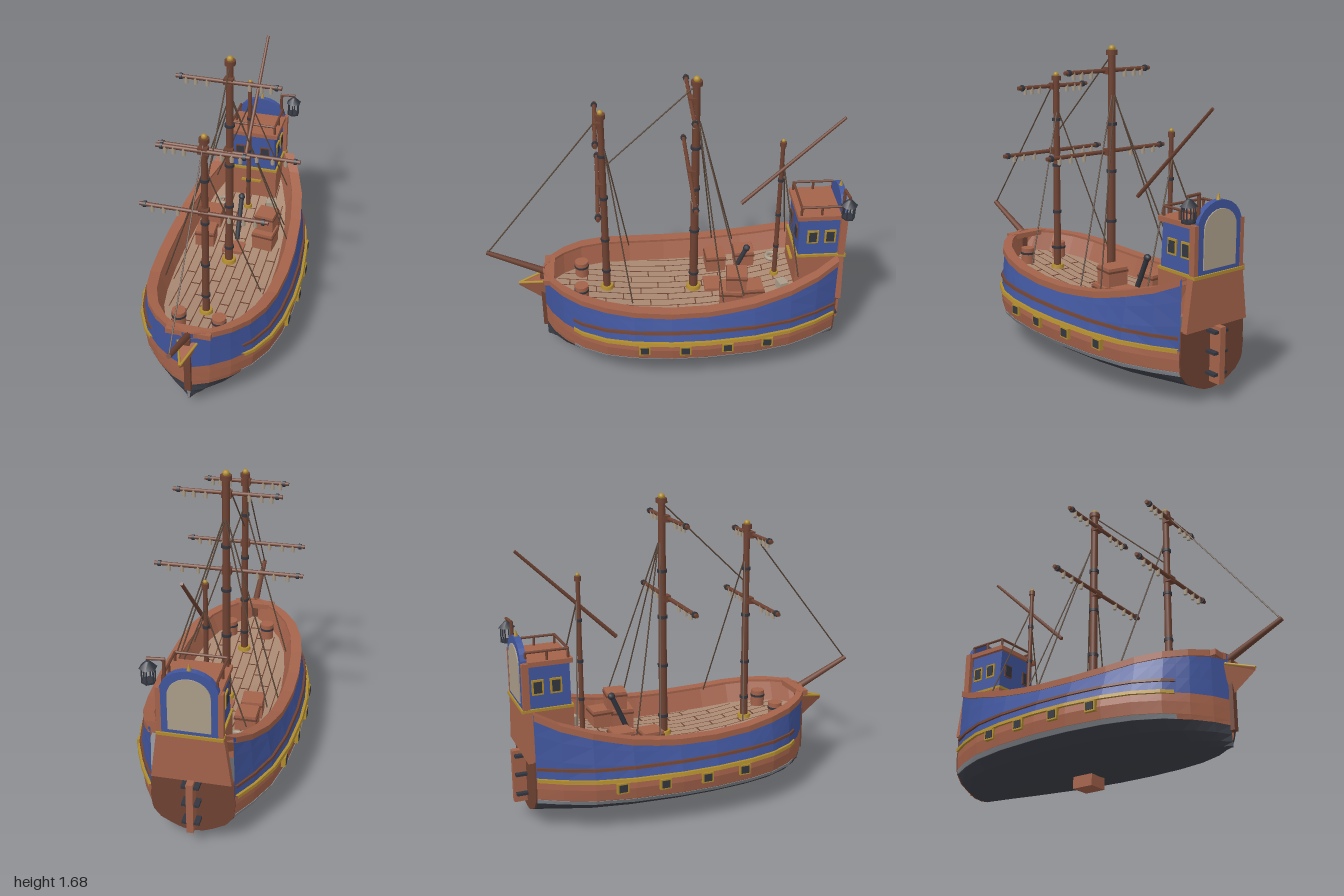
import * as THREE from 'three';

const mat = (name, color) => { const m = new THREE.MeshStandardMaterial({ color }); m.name = name; return m; };
const M = {
  blue: mat('blue paint', 0x40559c), wood: mat('red wood', 0xa3624a), dark: mat('dark wood', 0x6e4232),
  slate: mat('slate bottom', 0x3d4049), gold: mat('gold trim', 0xb08c2e), grey: mat('grey stripe', 0x868a90),
  deck: mat('deck planks', 0xa88872), rope: mat('rope', 0x5a4638), tan: mat('canvas', 0xaa9c88), iron: mat('iron', 0x33363f),
};

// Piecewise linear lookup in [[key, value], ...]
const lookup = (t, k) => {
  if (k <= t[0][0]) return t[0][1];
  for (let i = 1; i < t.length; i++) if (k <= t[i][0]) {
    const [a, va] = t[i - 1], [b, vb] = t[i];
    return va + (vb - va) * (k - a) / (b - a);
  }
  return t[t.length - 1][1];
};
const PLAN = [[-.92, .5], [-.8, .67], [-.65, .83], [-.45, .94], [-.2, 1], [0, 1], [.2, .95], [.35, .86], [.48, .7], [.58, .48], [.65, .25], [.69, .03]];
const SHEER = [[-.92, .645], [-.8, .59], [-.6, .53], [-.4, .485], [-.2, .465], [0, .46], [.2, .47], [.4, .495], [.69, .53]];
const SECTION = [[.06, 0], [.065, .1], [.085, .2], [.12, .33], [.165, .4], [.19, .415], [.25, .425], [.29, .42]];
const STATIONS = [-.92, -.8, -.65, -.55, -.45, -.32, -.2, -.1, 0, .1, .2, .28, .35, .42, .48, .53, .58, .615, .65, .69];
const plan = z => lookup(PLAN, z), sheer = z => lookup(SHEER, z);
const railHalf = z => .365 * Math.pow(plan(z), .85);
const deckHalf = z => Math.max(.002, railHalf(z) - .085);
const deckY = z => sheer(z) - .11;
const hullHalf = (z, y) => {
  if (y <= .29) return lookup(SECTION, y) * plan(z);
  const t = (y - .29) / (sheer(z) - .29), lo = .42 * plan(z);
  return lo + (railHalf(z) - lo) * t;
};

// Flat-shaded surface through rows of points
function loft(rows, flip) {
  const v = [];
  for (let i = 0; i < rows.length - 1; i++) for (let j = 0; j < rows[i].length - 1; j++) {
    const a = rows[i][j], b = rows[i + 1][j], c = rows[i + 1][j + 1], d = rows[i][j + 1];
    for (const p of flip ? [a, c, b, a, d, c] : [a, b, c, a, c, d]) v.push(...p);
  }
  const g = new THREE.BufferGeometry();
  g.setAttribute('position', new THREE.Float32BufferAttribute(v, 3));
  g.computeVertexNormals();
  return g;
}

export function createModel() {
  const root = new THREE.Group();
  root.name = 'sailingShip';
  const add = (name, geo, m, x = 0, y = 0, z = 0) => {
    const o = new THREE.Mesh(geo, m);
    o.name = name; o.position.set(x, y, z); root.add(o);
    return o;
  };
  const box = (name, m, w, h, d, x, y, z) => add(name, new THREE.BoxGeometry(w, h, d), m, x, y, z);
  const cyl = (name, m, r0, r1, h, x, y, z, n = 10) => add(name, new THREE.CylinderGeometry(r1, r0, h, n), m, x, y, z);
  const rod = (name, m, a, b, r, r2 = r, n = 8) => {
    const A = new THREE.Vector3(...a), d = new THREE.Vector3(...b).sub(A), len = d.length();
    const o = cyl(name, m, r, r2, len, 0, 0, 0, n);
    o.position.copy(A).addScaledVector(d, .5);
    o.quaternion.setFromUnitVectors(new THREE.Vector3(0, 1, 0), d.normalize());
    return o;
  };
  const plate = (name, m, pts, z0, z1) => add(name, new THREE.ExtrudeGeometry(
    new THREE.Shape(pts.map(p => new THREE.Vector2(...p))), { depth: z1 - z0, bevelEnabled: false }), m, 0, 0, z0);
  const mirrored = f => [1, -1].forEach(f);

  // Hull, bands, rail and bulwark on both sides
  const bands = [['hullBottom', M.slate, [.06, .065, .085, .12, .165]], ['hullSide', M.wood, [.165, .19, .25, .295]]];
  mirrored(s => {
    const skin = (name, m, f, zs = STATIONS) => add(name, loft(zs.map(z => f(z).map(([x, y]) => [s * x, y, z])), s > 0), m);
    for (const [name, m, ys] of bands) skin(name, m, z => ys.map(y => [hullHalf(z, y), y]));
    skin('hullTopsides', M.blue, z => [0, .35, .7, 1].map(t => {
      const y = .295 + (sheer(z) - .295) * t;
      return [hullHalf(z, y), y];
    }));
    const aft = STATIONS.filter(z => z <= .53);
    const strip = (name, m, y0, y1, off) => skin(name, m, z => {
      const w = hullHalf(z, y0), u = hullHalf(z, y1);
      return [[w - .01, y0], [w + off, y0], [u + off, y1], [u - .01, y1]];
    }, aft);
    strip('waterlineStripe', M.grey, .165, .187, .004);
    strip('goldStripe', M.gold, .287, .305, .015);
    strip('wale', M.dark, .35, .364, .012);
    skin('rail', M.wood, z => {
      const o = railHalf(z) + .012, i = Math.max(.002, o - .06), y = sheer(z);
      return [[i, y - .028], [o, y - .028], [o, y + .005], [i, y + .005], [i, y - .028]];
    });
    skin('bulwark', M.wood, z => [[Math.max(.002, railHalf(z) - .045), sheer(z)], [deckHalf(z), deckY(z)]]);
    // Gun ports
    for (const z of [.15, -.07, -.3, -.52]) {
      const x = s * (hullHalf(z, .26) + .003);
      box('portFrame', M.gold, .026, .056, .062, x, .258, z);
      box('portLid', M.iron, .032, .04, .044, x, .258, z);
    }
  });
  box('keelBlock', M.wood, .11, .07, .12, 0, .035, -.17);

  // Deck with plank seams
  const zs = STATIONS;
  add('deck', loft(zs.map(z => [[-deckHalf(z), deckY(z), z], [deckHalf(z), deckY(z), z]])), M.deck);
  for (let k = -5; k <= 5; k++) {
    const x = k * .052, run = zs.filter(z => deckHalf(z) > Math.abs(x) + .005);
    if (run.length > 1) add('plankSeam', loft(run.map(z => [-.003, .003].map(e => [x + e, deckY(z) + .002, z]))), M.dark);
    for (let z = -.6 + (((k + 5) * 7) % 5) * .05; z < .6; z += .25)
      if (deckHalf(z) > Math.abs(x) + .055) box('plankJoint', M.dark, .052, .003, .006, x + .026, deckY(z) + .001, z);
  }

  // Transom, stern board and rudder
  const ys = [.06, .065, .085, .12, .165, .19, .25, .29, .34, .39];
  const half = ys.map(y => [hullHalf(-.92, y), y]);
  plate('transom', M.dark, [...half, ...half.slice(1).reverse().map(([x, y]) => [-x, y])], -.928, -.915);
  plate('sternPanel', M.wood, [[-.2, .385], [.2, .385], [.165, .645], [-.165, .645]], -.955, -.915);
  const arch = (w, y0, y1, r) => {
    const p = [[-w, y0], [w, y0]];
    for (let i = 0; i <= 12; i++) p.push([w * Math.cos(i * Math.PI / 12), y1 + r * Math.sin(i * Math.PI / 12)]);
    return p;
  };
  plate('sternBoard', M.blue, arch(.145, .645, .88, .125), -.957, -.925);
  plate('sternInset', M.tan, arch(.105, .68, .87, .095), -.963, -.955);
  box('sternTrim', M.gold, .33, .016, .05, 0, .65, -.94);
  mirrored(s => box('sternPost', M.wood, .025, .26, .035, s * .15, .77, -.94));
  add('finial', new THREE.ConeGeometry(.016, .05, 8), M.gold, 0, 1.015, -.941);
  box('rudder', M.wood, .035, .29, .075, 0, .245, -.96);
  for (const y of [.15, .26, .365]) box('rudderHinge', M.iron, .09, .014, .065, 0, y, -.955);

  // Stern cabin: base, walls, roof and roof railing
  box('cabinBase', M.wood, .3, .19, .24, 0, .55, -.815);
  box('cabinTrim', M.gold, .305, .014, .245, 0, .648, -.815);
  plate('cabinWalls', M.blue, [[-.142, .65], [.142, .65], [.13, .88], [-.13, .88]], -.93, -.705);
  box('cabinRoof', M.wood, .3, .025, .26, 0, .89, -.82);
  box('cabinStep', M.gold, .12, .012, .02, 0, .57, -.69);
  mirrored(s => {
    box('frontWindowFrame', M.dark, .058, .075, .008, s * .075, .765, -.703);
    box('frontWindow', M.iron, .046, .062, .008, s * .075, .765, -.7);
    for (const z of [-.78, -.875]) {
      box('sideWindowFrame', M.gold, .012, .08, .062, s * .136, .765, z);
      box('sideWindow', M.iron, .016, .06, .042, s * .137, .765, z);
    }
    rod('roofRailSide', M.dark, [s * .13, .95, -.71], [s * .13, .95, -.93], .007);
    for (const z of [-.71, -.82, -.93]) rod('roofRailPost', M.dark, [s * .13, .9, z], [s * .13, .95, z], .007);
  });
  rod('roofRailFront', M.dark, [-.13, .95, -.71], [.13, .95, -.71], .007);

  // Stern lantern on a bracket
  rod('lanternPost', M.dark, [.12, .9, -.935], [.12, 1.045, -.935], .009);
  rod('lanternArm', M.dark, [.115, 1.045, -.935], [.2, 1.045, -.945], .008);
  cyl('lanternBase', M.iron, .036, .036, .01, .193, .925, -.945, 6);
  cyl('lanternRoof', M.iron, .045, .01, .035, .193, 1.015, -.945, 6);
  for (let i = 0; i < 6; i++) {
    const a = i * Math.PI / 3, x = .193 + .032 * Math.sin(a), z = -.945 + .032 * Math.cos(a);
    rod('lanternBar', M.iron, [x, .925, z], [x, 1.0, z], .004, .004, 5);
  }

  // Stem, beakhead, bow platform and bowsprit
  box('stem', M.dark, .035, .36, .04, 0, .32, .69);
  box('bowPlatform', M.wood, .24, .03, .055, 0, .515, .655);
  const beak = (y0, y1, y2, w, zt) => [[.685, w, y0, y1], [zt, .008, y2 - .015, y2]].map(([z, h, a, b]) =>
    [[0, a, z], [h, b, z], [-h, b, z], [0, a, z]]);
  add('beakhead', loft(beak(.31, .47, .435, .05, .83), false), M.wood).material.side = THREE.DoubleSide;
  mirrored(s => rod('beakTrim', M.gold, [s * .05, .473, .69], [0, .437, .83], .007));
  rod('bowsprit', M.dark, [0, .5, .66], [0, .652, .99], .02, .013);

  // Masts with iron bands, collars and caps
  const masts = [['foreMast', .34, 1.47, .021, [.5, .71, .98, 1.24]], ['mainMast', -.15, 1.64, .024, [.46, .75, 1.02, 1.27]], ['mizzenMast', -.61, 1.27, .014, [.62, .83, 1.05]]];
  for (const [name, z, top, r, rings] of masts) {
    const y0 = deckY(z);
    cyl(name, M.dark, r, r * .8, top - y0, 0, (top + y0) / 2, z, 12);
    cyl('mastFoot', M.gold, r * 1.8, r * 1.6, .02, 0, y0 + .01, z, 12);
    cyl('mastCollar', M.dark, r * 1.25, r * 1.25, .025, 0, top, z, 12);
    add('mastCap', new THREE.SphereGeometry(r * .75, 10, 8), M.gold, 0, top + .02, z);
    for (const y of rings) cyl('mastBand', M.iron, r * 1.15, r * 1.15, .016, 0, y, z, 12);
  }

  // Yards with end caps and hanging ties
  for (const [y, z, w] of [[1.545, -.118, .28], [1.12, -.118, .395], [1.425, .37, .235], [1.06, .37, .335]]) {
    rod('yard', M.dark, [-w, y, z], [w, y, z], .011);
    box('yardBracket', M.dark, .05, .035, .04, 0, y, z - .012);
    mirrored(s => {
      rod('yardCap', M.iron, [s * (w - .035), y, z], [s * (w - .02), y, z], .017);
      for (const f of [.4, .62, .8]) cyl('sailTie', M.tan, .01, .012, .04, s * w * f, y - .017, z, 8);
    });
  }
  rod('lateenYard', M.dark, [.03, .93, -.4], [.03, 1.43, -.92], .011, .008);

  // Rigging
  const line = (a, b) => rod('rope', M.rope, a, b, .004, .004, 5);
  line([0, .65, .985], [0, 1.45, .36]);
  line([0, 1.62, -.14], [0, 1.18, .32]);
  mirrored(s => {
    line([0, 1.3, .33], [s * .27, .47, .205]);
    line([0, 1.45, -.16], [s * .31, .47, -.285]);
    line([0, 1.42, -.17], [s * .27, .485, -.4]);
    line([0, 1.15, -.62], [s * .22, .56, -.7]);
  });

  // Deck cargo: crates, barrels, rope coil, sack and pump
  const crate = (x, z, w, h, turn, up = 0) => {
    const y = deckY(z) + up;
    box('crate', M.wood, w, h, w, x, y + h / 2, z).rotation.y = turn;
    box('crateLid', M.dark, w + .008, .01, w + .008, x, y + h * .8, z).rotation.y = turn;
  };
  crate(-.175, -.455, .11, .1, 0);
  crate(-.175, -.29, .11, .1, .05);
  crate(.17, -.46, .11, .1, .04);
  crate(.17, -.34, .12, .11, -.12);
  crate(.17, -.37, .11, .1, -.12, .11);
  mirrored(s => {
    cyl('barrel', M.wood, .038, .038, .09, s * .11, deckY(.48) + .045, .48, 12);
    cyl('barrelHoop', M.iron, .041, .041, .012, s * .11, deckY(.48) + .06, .48, 12);
  });
  add('ropeCoil', new THREE.TorusGeometry(.034, .012, 6, 14), M.tan, -.15, deckY(-.62) + .012, -.62).rotation.x = Math.PI / 2;
  box('sack', M.tan, .06, .05, .05, .14, deckY(-.63) + .025, -.63).rotation.y = .3;
  rod('pump', M.iron, [0, .37, -.34], [0, .6, -.44], .014);
  add('pumpHead', new THREE.SphereGeometry(.02, 8, 6), M.iron, 0, .61, -.445);
  box('hatch', M.wood, .12, .02, .1, 0, deckY(-.25) + .01, -.26);
  return root;
}
